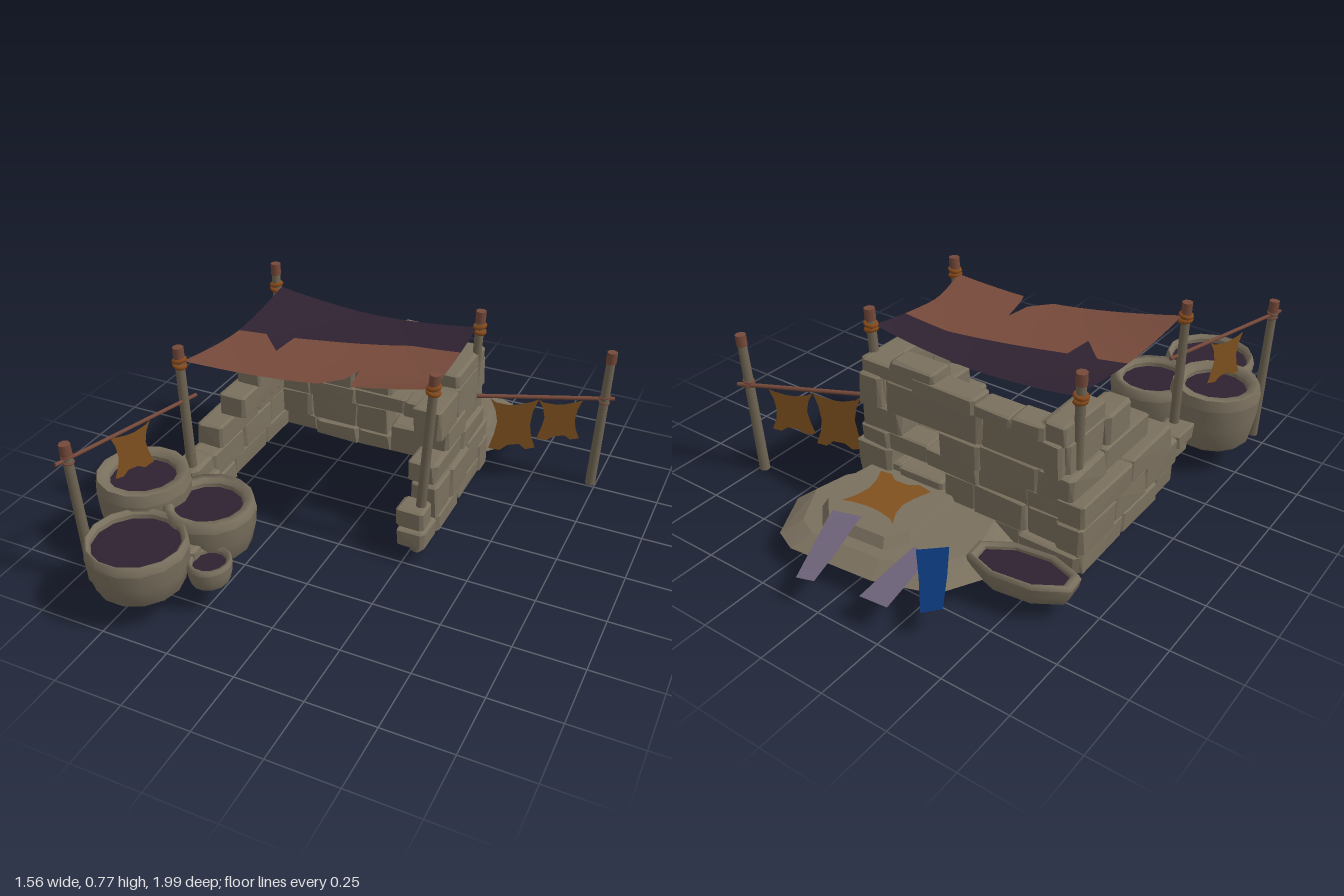
import * as THREE from 'three';
import { toCreasedNormals } from 'three/addons/utils/BufferGeometryUtils.js';
import { ConvexGeometry } from 'three/addons/geometries/ConvexGeometry.js';

const V = (x, y, z) => new THREE.Vector3(x, y, z);

export function createModel() {
  const root = new THREE.Group();
  root.name = 'tannery';
  const mat = (name, color, extra = {}) => {
    const m = new THREE.MeshStandardMaterial({ color, ...extra });
    m.name = name;
    return m;
  };
  const two = { side: THREE.DoubleSide };
  const stone = mat('stone', 0x7a705e, { flatShading: true });
  const clay = mat('clay', 0x7a705e);
  const wood = mat('wood', 0x6f6553);
  const rust = mat('rust', 0x75493a, two);
  const dark = mat('dark purple', 0x2f2231, two);
  const rope = mat('rope', 0x86491a);
  const leather = mat('leather', 0x80511f, two);
  const lilac = mat('lilac', 0x6d6278, two);
  const blue = mat('blue', 0x0a3270, two);

  const add = (name, geo, material, parent = root) => {
    const m = new THREE.Mesh(geo, material);
    m.name = name;
    parent.add(m);
    return m;
  };
  const group = (name) => {
    const g = new THREE.Group();
    g.name = name;
    root.add(g);
    return g;
  };
  let seed = 7;
  const rand = () => (seed = (seed * 16807) % 2147483647) / 2147483647 - 0.5;

  // Rough chamfered stone block, given by its limits
  function block(parent, x0, x1, y0, y1, z0, z1) {
    const c = [(x0 + x1) / 2, (y0 + y1) / 2, (z0 + z1) / 2];
    const h = [(x1 - x0) / 2, (y1 - y0) / 2, (z1 - z0) / 2];
    const pts = [];
    for (const sx of [-1, 1]) for (const sy of [-1, 1]) for (const sz of [-1, 1]) {
      const cut = 0.006 + (rand() + 0.5) * 0.012;
      for (let a = 0; a < 3; a++) {
        const p = [sx, sy, sz].map((s, i) => c[i] + s * (h[i] - (i === a ? 0 : cut * (i === 1 ? 0.4 : 1))));
        pts.push(V(p[0] + rand() * 0.006, p[1] + rand() * 0.003, p[2] + rand() * 0.006));
      }
    }
    add('stoneBlock', new ConvexGeometry(pts), stone, parent);
  }

  // Back wall: bottom, top, then pairs of x limits
  const back = group('backWall');
  [[0.06, 0.13, -0.62, -0.38, -0.38, -0.19, -0.19, -0.04],
    [0.06, 0.185, -0.05, 0.14, 0.13, 0.33],
    [0.13, 0.245, -0.6, -0.4, -0.4, -0.19, -0.2, -0.06, 0.17, 0.32],
    [0.24, 0.31, -0.59, -0.4, -0.41, -0.2, -0.21, 0.02, 0.01, 0.19, 0.18, 0.31],
    [0.305, 0.405, -0.56, -0.44, -0.45, -0.21, -0.22, -0.05, 0.13, 0.3],
    [0.4, 0.525, -0.54, -0.47, -0.48, -0.22, -0.22, 0.18, 0.2, 0.3],
    [0.515, 0.59, -0.545, -0.46],
    [0.515, 0.575, -0.47, -0.35, -0.2, 0.06, 0.05, 0.3],
    [0.52, 0.565, -0.35, -0.2],
    [0.57, 0.61, -0.03, 0.16]].forEach(([y0, y1, ...xs]) => {
    for (let i = 0; i < xs.length; i += 2) {
      const j = rand() * 0.025;
      block(back, xs[i], xs[i + 1], y0, y1, -0.422 + j, -0.32 + j);
    }
  });

  // Side walls step down towards the front: bottom, top, centre x, then pairs of z limits
  const side = (name, rows) => {
    const g = group(name);
    rows.forEach(([y0, y1, x, ...zs]) => {
      for (let i = 0; i < zs.length; i += 2) {
        const j = rand() * 0.02;
        block(g, x - 0.053 + j, x + 0.053 + j, y0, y1, zs[i], zs[i + 1]);
      }
    });
  };
  side('rightWall', [[0.06, 0.13, 0.28, -0.36, -0.1, -0.1, 0.11], [0.06, 0.13, 0.268, 0.11, 0.24],
    [0.125, 0.255, 0.275, -0.38, -0.2, -0.2, -0.02, -0.02, 0.12], [0.125, 0.2, 0.262, 0.12, 0.22],
    [0.25, 0.33, 0.265, -0.38, -0.16, -0.16, 0.1], [0.325, 0.41, 0.255, -0.41, -0.2, -0.2, -0.01],
    [0.405, 0.525, 0.25, -0.41, -0.12, -0.12, 0.06], [0.515, 0.575, 0.245, -0.4, -0.13]]);
  side('leftWall', [[0.06, 0.14, -0.57, -0.42, -0.15, -0.15, 0.1, 0.1, 0.24],
    [0.11, 0.185, -0.55, 0.24, 0.39], [0.18, 0.24, -0.56, 0.24, 0.37],
    [0.135, 0.24, -0.575, -0.43, -0.2, -0.2, 0.02, 0.02, 0.25],
    [0.235, 0.325, -0.565, -0.42, -0.1, -0.1, 0.19], [0.32, 0.41, -0.52, -0.42, -0.2, -0.2, 0.09],
    [0.405, 0.52, -0.51, -0.4, -0.18, -0.18, -0.02], [0.515, 0.58, -0.505, -0.41, -0.17]]);

  // Rock mound behind the back wall
  const mound = group('rockMound');
  const outline = [[-0.36, -0.42], [-0.41, -0.6], [-0.31, -0.78], [-0.1, -0.85], [0.23, -0.88],
    [0.32, -0.84], [0.41, -0.66], [0.37, -0.52], [0.27, -0.4]];
  const low = outline.flatMap(([x, z]) => {
    const tx = x * (x < 0 ? 0.78 : 0.85), tz = -0.42 + (z + 0.42) * 0.84;
    return [V(x * 0.9, 0.06, -0.6 + (z + 0.6) * 0.94), V(x, 0.075, z), V(tx, 0.132 + (tz + 0.42) * 0.06, tz)];
  });
  add('lowerRock', new ConvexGeometry(low), stone, mound);
  const tier = [[-0.13, -0.4], [-0.13, -0.68], [-0.07, -0.76], [0.2, -0.78], [0.28, -0.7], [0.31, -0.55], [0.28, -0.4]];
  add('upperRock', new ConvexGeometry(tier.flatMap(([x, z]) => {
    const tx = 0.08 + (x - 0.08) * 0.85, tz = -0.42 + (z + 0.42) * 0.88;
    return [V(x, 0.085, z), V(tx, 0.155 + (tz + 0.42) * 0.03, tz)];
  })), stone, mound);

  // Round vats and a long trough, each with dark dye inside
  function vat(name, x, z, rx, rz, y0, h, open, segs = 14, turn = 0) {
    const g = group(name);
    const lip = Math.min(0.03, h * 0.25);
    const pts = [[0, 0], [0.78, 0], [0.86, h * 0.06], [0.96, h * 0.45], [1, h * 0.82], [0.95, h], [open + 0.06, h],
      [open, h - lip * 0.5], [open - 0.02, h - lip * 1.6]].map((p) => new THREE.Vector2(...p));
    const half = Math.PI / segs;
    add('bowl', toCreasedNormals(new THREE.LatheGeometry(pts, segs, half), 0.6), clay, g);
    const dye = add('dye', new THREE.CircleGeometry(open, segs, half + Math.PI / 2).rotateX(-Math.PI / 2), dark, g);
    dye.position.y = h - lip;
    g.position.set(x, y0, z);
    g.scale.set(rx, 1, rz);
    g.rotation.y = turn;
  }
  vat('tallVat', -0.612, 0.55, 0.17, 0.168, 0.1, 0.232, 0.7);
  vat('backVat', -0.355, 0.54, 0.167, 0.165, 0.1, 0.18, 0.73);
  vat('frontVat', -0.457, 0.825, 0.178, 0.174, 0.1, 0.18, 0.86);
  vat('smallVat', -0.248, 0.72, 0.077, 0.082, 0.1, 0.085, 0.74);
  vat('trough', -0.497, -0.565, 0.205, 0.095, 0.06, 0.085, 0.82, 8, 0.12);
  // Rock joining the vats
  block(group('vatBase'), -0.54, -0.3, 0.14, 0.2, 0.6, 0.74);

  // Straight pole between two points
  function pole(name, a, b, r0, r1, material, parent = root) {
    const d = b.clone().sub(a);
    const m = add(name, new THREE.CylinderGeometry(r1, r0, d.length(), 8), material, parent);
    m.position.copy(a).add(b).multiplyScalar(0.5);
    m.quaternion.setFromUnitVectors(V(0, 1, 0), d.normalize());
  }
  // Post with a painted tip and a binding at height tieY
  function post(name, a, b, tieY, tieMat = rope, thick = 0.009) {
    const g = group(name);
    const at = (y) => a.clone().lerp(b, (y - a.y) / (b.y - a.y));
    const tip = at(b.y - 0.045);
    pole('shaft', a, tip, 0.02, 0.017, wood, g);
    pole('tip', tip, b, 0.02, 0.02, rust, g);
    for (const dy of [-0.01, 0.01]) {
      const ring = add('binding', new THREE.TorusGeometry(0.019, thick, 6, 10).rotateX(Math.PI / 2), tieMat, g);
      ring.position.copy(at(tieY + dy));
      ring.rotation.z = dy * 20;
    }
  }
  post('backLeftPost', V(-0.54, 0.1, -0.325), V(-0.56, 0.77, -0.352), 0.675);
  post('backRightPost', V(0.27, 0, -0.325), V(0.295, 0.74, -0.35), 0.67);
  post('frontLeftPost', V(-0.553, 0.12, 0.335), V(-0.563, 0.73, 0.34), 0.67);
  post('frontRightPost', V(0.27, 0, 0.16), V(0.32, 0.74, 0.16), 0.68);
  post('leftLinePost', V(-0.69, 0, 0.79), V(-0.695, 0.58, 0.825), 0.52, rust, 0.004);
  post('rightLinePost', V(0.73, 0, -0.52), V(0.75, 0.58, -0.54), 0.38, rust, 0.004);
  pole('leftRod', V(-0.54, 0.52, 0.29), V(-0.705, 0.522, 0.87), 0.007, 0.007, rust);
  pole('rightRod', V(0.28, 0.388, -0.335), V(0.775, 0.376, -0.56), 0.008, 0.008, rust);

  // Sagging two-tone awning with a torn front edge
  const line = (pts) => (x) => {
    let i = 1;
    while (i < pts.length - 1 && x > pts[i][0]) i++;
    const [x0, z0] = pts[i - 1], [x1, z1] = pts[i];
    return z0 + (z1 - z0) * (x - x0) / (x1 - x0);
  };
  const rear = line([[-0.55, -0.35], [0.3, -0.342]]);
  const seam = line([[-0.55, -0.016], [-0.44, -0.04], [-0.34, 0.058], [-0.33, -0.06], [0.1, -0.175], [0.3, -0.175]]);
  const front = line([[-0.55, 0.335], [-0.09, 0.22], [-0.02, 0.15], [0, 0.06], [0.025, 0.2], [0.3, 0.16]]);
  function cloth(name, zA, zB, material) {
    const geo = new THREE.PlaneGeometry(1, 1, 85, 8);
    const p = geo.attributes.position;
    for (let i = 0; i < p.count; i++) {
      const x = -0.55 + (p.getX(i) + 0.5) * 0.85;
      const z = THREE.MathUtils.lerp(zA(x), zB(x), 0.5 - p.getY(i));
      const u = Math.abs((x + 0.125) / 0.425), v = Math.min(1, Math.abs(z / (z < 0 ? 0.345 : 0.33 - 0.17 * (x + 0.55) / 0.85)));
      const y = 0.626 + 0.012 * (u * u + v * v) + 0.026 * Math.pow(u, 1.6) * Math.pow(v, 1.5);
      // the sides bow inwards, and the back edge is narrower than the front
      const pull = 0.015 * u * u * (z < 0 ? 1 : 1 - v);
      p.setXYZ(i, x - Math.sign(x + 0.125) * pull, y, z);
    }
    geo.computeVertexNormals();
    add(name, geo, material);
  }
  cloth('awningBack', rear, seam, dark);
  cloth('awningFront', seam, front, rust);

  // Hides: ragged skins with four legs, top corners at y = 0
  const hideShape = new THREE.Shape([[-0.5, 0], [-0.38, -0.08], [-0.1, -0.13], [0.12, -0.12], [0.36, -0.07],
    [0.5, -0.02], [0.4, -0.25], [0.36, -0.5], [0.4, -0.72], [0.5, -0.95], [0.3, -0.98], [0.16, -0.88],
    [-0.08, -0.9], [-0.24, -1], [-0.48, -0.96], [-0.38, -0.68], [-0.33, -0.45], [-0.38, -0.22]]
    .map((p) => new THREE.Vector2(...p)));
  function hide(name, x, y, z, w, h, turn, tilt = 0) {
    const m = add(name, new THREE.ShapeGeometry(hideShape), leather);
    m.position.set(x, y, z);
    m.scale.set(w, h, 1);
    m.rotation.set(tilt, turn, 0);
  }
  hide('hangingHideA', 0.43, 0.377, -0.404, 0.185, 0.235, 0.43);
  hide('hangingHideB', 0.59, 0.373, -0.477, 0.17, 0.185, 0.43);
  hide('hangingHideC', -0.627, 0.515, 0.57, 0.165, 0.18, Math.atan2(-0.5, -0.18));
  hide('dryingHide', 0.08, 0.156, -0.66, 0.23, 0.22, 0, -Math.PI / 2 - 0.03);

  // Cloth strips laid over the rock: stations of left x, right x, y, left z, right z
  function strip(name, stations, material) {
    const geo = new THREE.PlaneGeometry(1, 1, 1, stations.length - 1);
    stations.forEach(([xl, xr, y, zl, zr], i) => {
      geo.attributes.position.setXYZ(i * 2, xl, y, zl);
      geo.attributes.position.setXYZ(i * 2 + 1, xr, y, zr);
    });
    geo.computeVertexNormals();
    add(name, geo, material);
  }
  strip('blueCloth', [[-0.39, -0.345, 0.102, -0.845, -0.9], [-0.315, -0.25, 0.122, -0.725, -0.79],
    [-0.25, -0.17, 0.14, -0.63, -0.705]], blue);
  strip('lilacClothA', [[-0.245, -0.14, 0.102, -0.94, -0.95], [-0.235, -0.145, 0.12, -0.81, -0.81],
    [-0.22, -0.15, 0.134, -0.69, -0.69]], lilac);
  strip('lilacClothB', [[0.025, 0.085, 0.102, -0.98, -1], [0.045, 0.14, 0.126, -0.85, -0.85],
    [0.065, 0.17, 0.154, -0.74, -0.75], [0.075, 0.18, 0.158, -0.69, -0.72]], lilac);

  return root;
}
